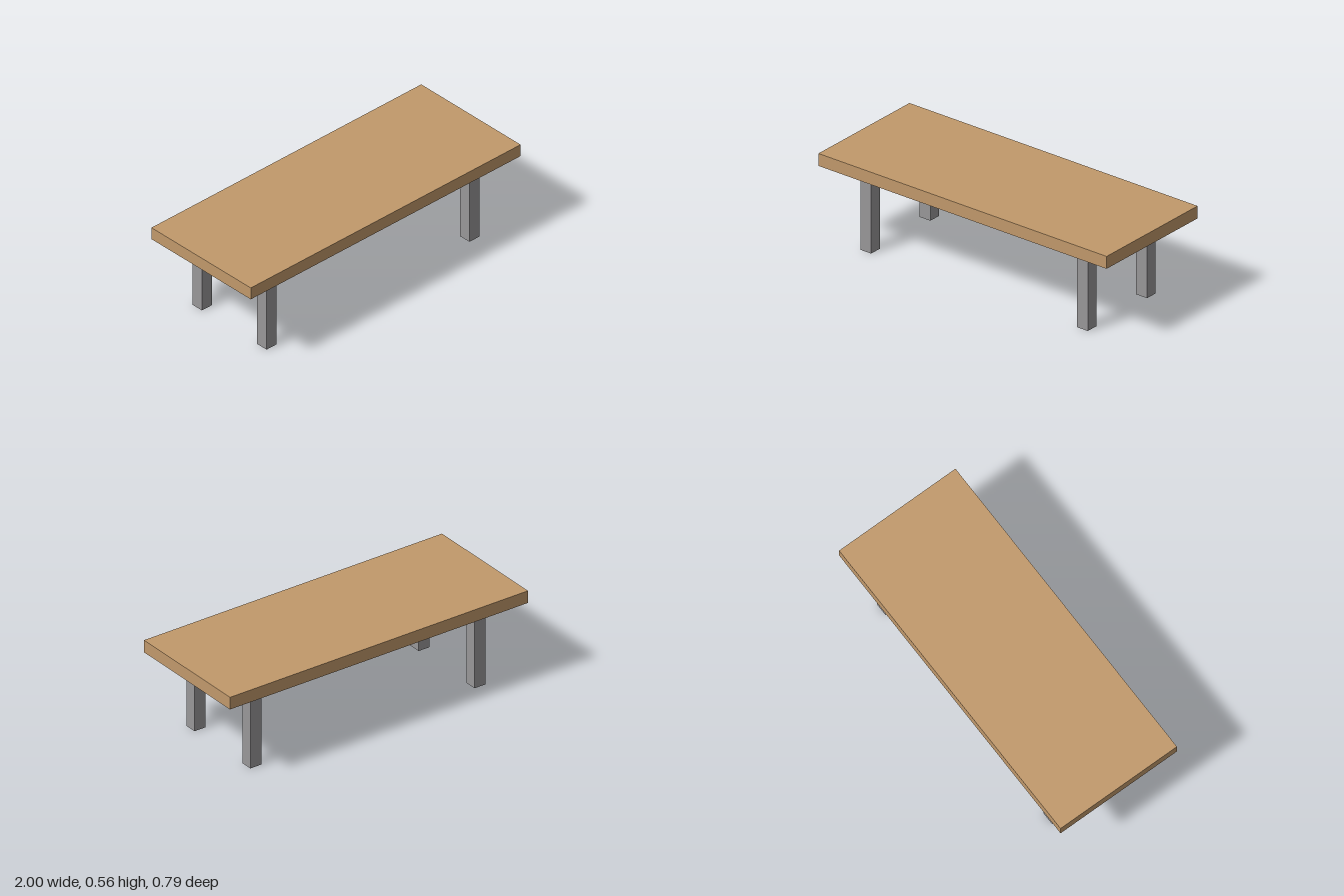
import * as THREE from 'three';

export function createModel() {
  const wood = new THREE.MeshStandardMaterial({ name: 'wood', color: 0xc1996b });
  const metal = new THREE.MeshStandardMaterial({ name: 'grey metal', color: 0x999799 });

  const table = new THREE.Group();
  table.name = 'table';

  const legHeight = 0.48;
  const thickness = 0.075; // shared by the slab and the square legs

  // Slab top
  const top = new THREE.Mesh(new THREE.BoxGeometry(2, thickness, 0.787), wood);
  top.name = 'tableTop';
  top.position.y = legHeight + thickness / 2;
  table.add(top);

  // Four square legs, inset from the corners
  const legGeometry = new THREE.BoxGeometry(thickness, legHeight, thickness);
  for (const [sideName, x] of [['Left', 0.752], ['Right', -0.752]]) {
    for (const [endName, z] of [['front', 0.256], ['back', -0.256]]) {
      const leg = new THREE.Mesh(legGeometry, metal);
      leg.name = `${endName}${sideName}Leg`;
      leg.position.set(x, legHeight / 2, z);
      table.add(leg);
    }
  }

  return table;
}
